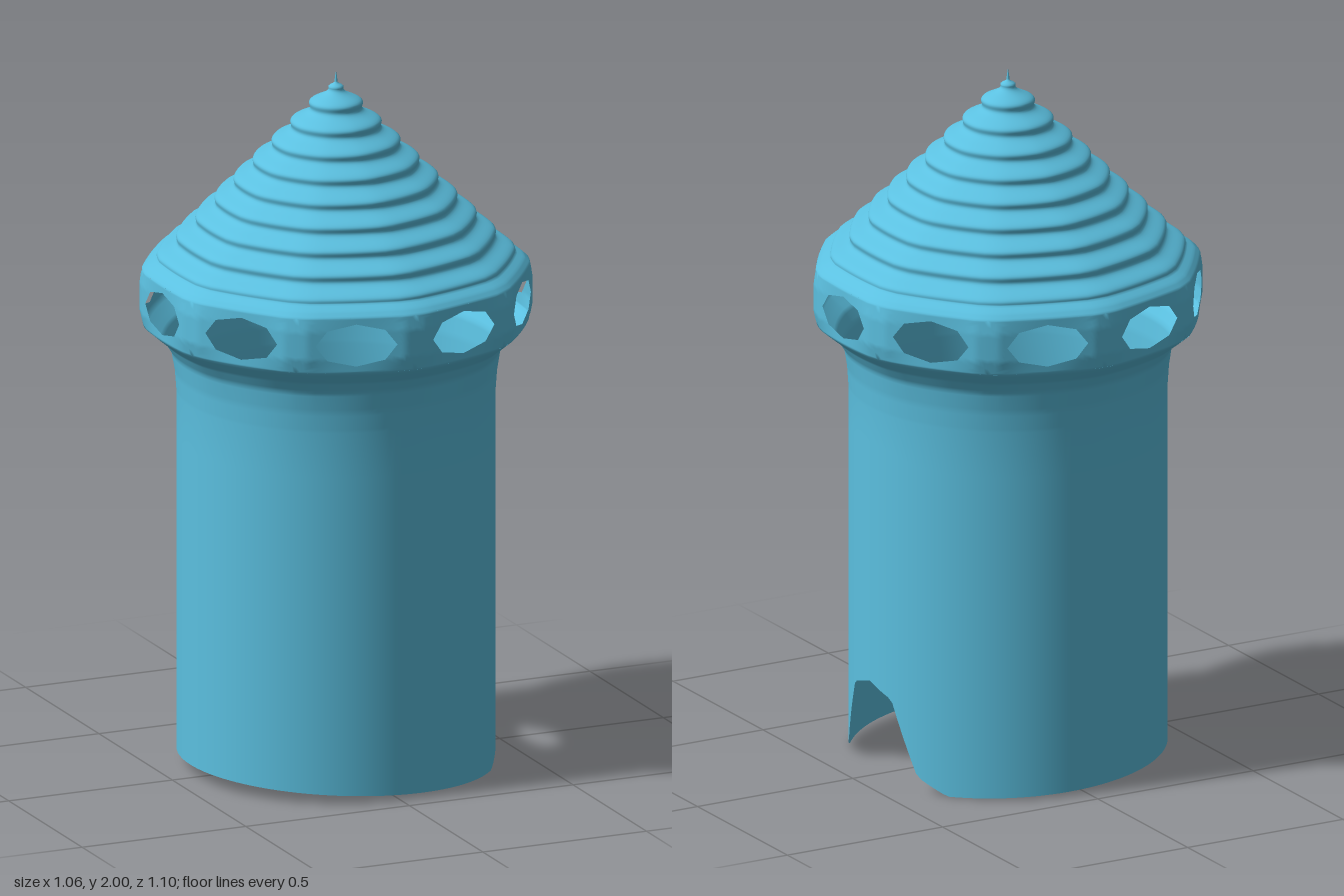
import * as THREE from 'three';

const SIDES = 10;
const STEP = (Math.PI * 2) / SIDES;
const BAND_LOW = 1.28, BAND_HIGH = 1.44;

// Profile rows: height, radius, how far the section turns from circle (0) to soft decagon (1)
const PROFILE = [
  [0, 0.445, 0], [1.08, 0.445, 0], [1.14, 0.449, 0.05], [1.2, 0.458, 0.15], [1.235, 0.478, 0.3],
  [1.26, 0.508, 0.45], [1.28, 0.53, 0.55], [1.32, 0.531, 1], [1.4, 0.531, 1], [1.44, 0.53, 0.7],
  [1.455, 0.515, 0.65], [1.47, 0.49, 0.6], [1.96, 0.022, 0], [1.97, 0.005, 0], [2, 0.001, 0],
];

function sampleProfile(y, column) {
  let i = 1;
  while (i < PROFILE.length - 1 && PROFILE[i][0] < y) i++;
  const a = PROFILE[i - 1], b = PROFILE[i];
  const t = THREE.MathUtils.clamp((y - a[0]) / (b[0] - a[0]), 0, 1);
  return THREE.MathUtils.lerp(a[column], b[column], t);
}

// Radius of the shell at any angle and height, including the roof ripples
function radiusAt(angle, y) {
  const a = angle - Math.round(angle / STEP) * STEP;
  const corner = Math.min(1 / Math.cos(a), 1.033) - 1;
  let r = sampleProfile(y, 1);
  if (y > 1.47 && y < 1.96) {
    r += 0.011 * Math.sin(((y - 1.47) / 0.49) * Math.PI * 2 * 9);
  }
  return r * (1 + corner * sampleProfile(y, 2));
}

// A sheet of the shell: place(u, v) gives [angle, height]
function shellSheet(columns, rows, place) {
  const positions = [], normals = [], index = [];
  const n = new THREE.Vector3();
  const e = 0.02, h = 0.004;
  for (let j = 0; j <= rows; j++) {
    for (let i = 0; i <= columns; i++) {
      const [a, y] = place(i / columns, j / rows);
      const r = radiusAt(a, y);
      const ra = (radiusAt(a + e, y) - radiusAt(a - e, y)) / (2 * e) / r;
      const ry = (radiusAt(a, y + h) - radiusAt(a, y - h)) / (2 * h);
      const c = Math.cos(a), s = Math.sin(a);
      positions.push(r * c, y, r * s);
      n.set(c + ra * s, -ry, s - ra * c).normalize();
      normals.push(n.x, n.y, n.z);
      if (i < columns && j < rows) {
        const p = j * (columns + 1) + i, q = p + columns + 1;
        index.push(p, q, p + 1, p + 1, q, q + 1);
      }
    }
  }
  const geometry = new THREE.BufferGeometry();
  geometry.setAttribute('position', new THREE.Float32BufferAttribute(positions, 3));
  geometry.setAttribute('normal', new THREE.Float32BufferAttribute(normals, 3));
  geometry.setIndex(index);
  return geometry;
}

// Lower rim: gently sloped, with an arched doorway on the left side
function rimHeight(angle) {
  const x = 0.445 * Math.cos(angle), z = Math.abs(0.445 * Math.sin(angle));
  const slope = Math.max(0, 0.04 - (x + 0.445) * 0.048);
  if (x < 0 || z > 0.27) return slope;
  const arch = [[0, 0.28], [0.1, 0.25], [0.19, 0.045], [0.27, 0.003]];
  const k = z < 0.1 ? 0 : z < 0.19 ? 1 : 2;
  const [a, b] = [arch[k], arch[k + 1]];
  return THREE.MathUtils.mapLinear(z, a[0], b[0], a[1], b[1]);
}

export function createModel() {
  const group = new THREE.Group();
  const material = new THREE.MeshStandardMaterial({ color: 0x5bc0e0, side: THREE.DoubleSide });
  const add = (name, geometry, parent = group) => {
    const mesh = new THREE.Mesh(geometry, material);
    mesh.name = name;
    parent.add(mesh);
  };

  // Round wall with the doorway cut from its rim
  add('towerWall', shellSheet(160, 8, (u, v) => {
    const a = u * Math.PI * 2;
    return [a, THREE.MathUtils.lerp(rimHeight(a), 1.08, v)];
  }));

  // Flare beneath the windows
  add('flaredCollar', shellSheet(160, 20, (u, v) => [
    u * Math.PI * 2, THREE.MathUtils.lerp(1.08, BAND_LOW, v),
  ]));

  // Ten panels, each running from an eight-sided opening out to its borders
  const band = new THREE.Group();
  band.name = 'windowBand';
  group.add(band);
  const middle = (BAND_LOW + BAND_HIGH) / 2;
  const halfHeight = (BAND_HIGH - BAND_LOW) / 2;
  for (let k = 0; k < SIDES; k++) {
    add('windowPanel', shellSheet(48, 8, (u, v) => {
      const t = -u * Math.PI * 2;
      const c = Math.cos(t), s = Math.sin(t);
      const local = t - Math.round(t / (Math.PI / 4) - 0.5) * (Math.PI / 4) - Math.PI / 8;
      const oct = Math.cos(Math.PI / 8) / Math.cos(local);
      const square = 1 / Math.max(Math.abs(c), Math.abs(s));
      const angle = THREE.MathUtils.lerp(Math.atan(0.115 * oct * c / 0.53), STEP / 2 * square * c, v);
      const y = middle + THREE.MathUtils.lerp(0.061 * oct * s, halfHeight * square * s, v);
      return [k * STEP + angle, y];
    }), band);
  }

  // Rippled conical roof ending in a fine point
  add('rippledRoof', shellSheet(100, 150, (u, v) => [
    u * Math.PI * 2, THREE.MathUtils.lerp(BAND_HIGH, 2, v),
  ]));

  return group;
}
